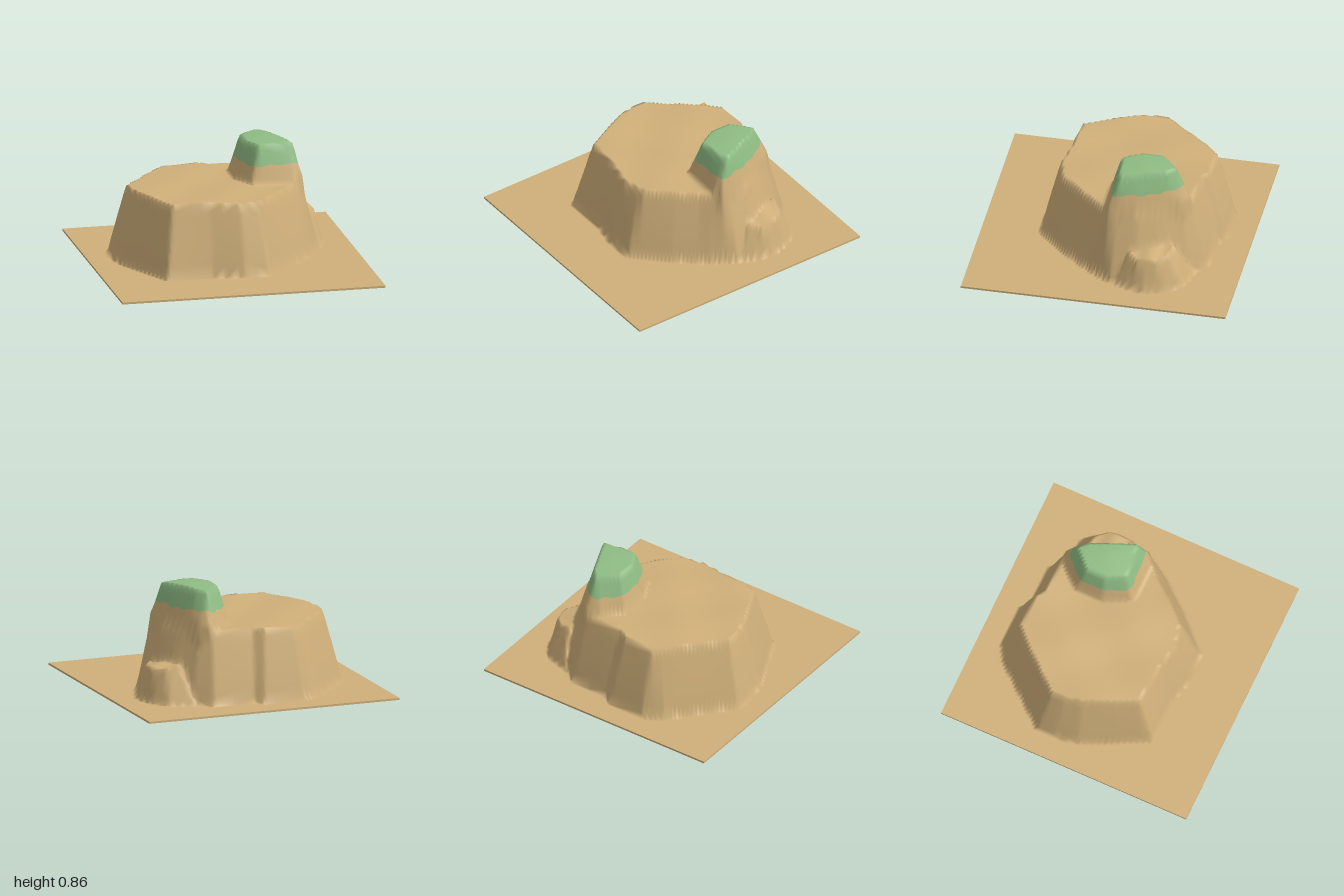
import * as THREE from 'three';

const GROUND = 0.015;
const CELLS = 96;

// Each landform rises from its foot outline to its top outline (x, z pairs).
const mesa = {
  low: GROUND, high: 0.557,
  top: [[-0.69, -0.24], [-0.4, -0.58], [-0.3, -0.68], [-0.05, -0.67], [0.02, -0.62], [0.34, -0.61], [0.42, -0.55],
    [0.5, -0.42], [0.58, -0.25], [0.6, -0.04], [0.47, 0.08], [0.36, 0.22], [0.2, 0.4], [0.02, 0.44], [-0.2, 0.4],
    [-0.48, 0.38], [-0.56, 0.22], [-0.66, 0], [-0.69, -0.14]],
  foot: [[-0.82, -0.3], [-0.45, -0.74], [-0.31, -0.82], [0, -0.81], [0.06, -0.76], [0.38, -0.74], [0.5, -0.64],
    [0.66, -0.45], [0.73, -0.25], [0.74, -0.07], [0.63, 0.1], [0.45, 0.32], [0.22, 0.55], [0.03, 0.57], [-0.2, 0.52],
    [-0.55, 0.52], [-0.64, 0.34], [-0.79, 0.02], [-0.82, -0.16]],
};
const ledge = {
  low: GROUND, high: 0.275,
  top: [[0.55, -0.53], [0.67, -0.5], [0.74, -0.42], [0.75, -0.28], [0.69, -0.21], [0.55, -0.2]],
  foot: [[0.48, -0.67], [0.69, -0.61], [0.77, -0.5], [0.82, -0.34], [0.79, -0.2], [0.7, -0.02], [0.5, -0.03]],
};
const tower = {
  low: 0.55, high: 0.832,
  top: [[0.34, -0.5], [0.4, -0.44], [0.47, -0.28], [0.55, -0.1], [0.28, -0.07], [0.2, -0.22], [0.2, -0.37]],
  foot: [[0.36, -0.62], [0.43, -0.56], [0.5, -0.42], [0.57, -0.25], [0.62, -0.03], [0.54, 0.01], [0.21, 0.01],
    [0.12, -0.2], [0.12, -0.42], [0.25, -0.57]],
};

// Signed distance to an outline, positive inside
function inset(poly, x, z) {
  let best = Infinity, inside = false;
  poly.forEach(([ax, az], i) => {
    const [bx, bz] = poly[(i + 1) % poly.length];
    const ex = bx - ax, ez = bz - az;
    const t = THREE.MathUtils.clamp(((x - ax) * ex + (z - az) * ez) / (ex * ex + ez * ez), 0, 1);
    best = Math.min(best, Math.hypot(x - ax - ex * t, z - az - ez * t));
    if ((az > z) !== (bz > z) && x < ax + (ex * (z - az)) / ez) inside = !inside;
  });
  return inside ? best : -best;
}

// 0 at the foot, 1 on the top, slightly bulging slope between
function rise(form, x, z) {
  const foot = inset(form.foot, x, z);
  if (foot <= 0) return 0;
  const top = inset(form.top, x, z);
  if (top >= 0) return 1;
  return Math.pow(foot / (foot - top), 0.9);
}

function height(x, z) {
  const wave = Math.sin(x * 9 + 1) * Math.cos(z * 8 - 0.5);
  let y = GROUND;
  const m = rise(mesa, x, z);
  if (m > 0) y = Math.max(y, GROUND + m * (mesa.high - GROUND + 0.008 * wave));
  const l = rise(ledge, x, z);
  if (l > 0) y = Math.max(y, GROUND + l * (ledge.high - GROUND + 0.2 * (0.7 - x) + 0.008 * Math.sin(z * 30)));
  const t = rise(tower, x, z);
  if (t > 0) {
    const dome = Math.max(0, 1 - Math.hypot(x - 0.38, z + 0.28) / 0.24);
    y = Math.max(y, tower.low + t * (tower.high - tower.low + 0.024 * Math.sqrt(dome)));
  }
  return y;
}

// Grid point: position, normal and height over the wavy grass line
function samplePoint(i, j) {
  const x = -1 + (2 * i) / CELLS, z = -1 + (2 * j) / CELLS, e = 0.014;
  const y = height(x, z);
  const n = new THREE.Vector3(height(x - e, z) - height(x + e, z), 2 * e, height(x, z - e) - height(x, z + e)).normalize();
  const line = 0.692 + 0.014 * Math.sin(x * 38) * Math.cos(z * 34);
  return { p: new THREE.Vector3(x, y, z), n, s: y - line };
}

// Keep the part of a polygon on one side of the grass line
function clip(points, sign) {
  const out = [];
  points.forEach((a, i) => {
    const b = points[(i + 1) % points.length];
    if (a.s * sign >= 0) out.push(a);
    if (a.s * b.s < 0) {
      const t = a.s / (a.s - b.s);
      out.push({ p: a.p.clone().lerp(b.p, t), n: a.n.clone().lerp(b.n, t).normalize(), s: 0 });
    }
  });
  return out;
}

function surface(polygons, underside) {
  const pos = [], nor = [];
  for (const poly of polygons) {
    for (let k = 1; k < poly.length - 1; k++) {
      const tri = underside ? [poly[0], poly[k + 1], poly[k]] : [poly[0], poly[k], poly[k + 1]];
      for (const v of tri) {
        pos.push(v.p.x, underside ? 0 : v.p.y, v.p.z);
        if (underside) nor.push(0, -1, 0);
        else nor.push(v.n.x, v.n.y, v.n.z);
      }
    }
  }
  const g = new THREE.BufferGeometry();
  g.setAttribute('position', new THREE.Float32BufferAttribute(pos, 3));
  g.setAttribute('normal', new THREE.Float32BufferAttribute(nor, 3));
  return g;
}

export function createModel() {
  const group = new THREE.Group();
  group.name = 'mesaTerrain';
  const sand = new THREE.MeshStandardMaterial({ color: 0xd0b07a });
  sand.name = 'sand';
  const grass = new THREE.MeshStandardMaterial({ color: 0x8fbc84 });
  grass.name = 'grass';
  const add = (name, geometry, material) => {
    const mesh = new THREE.Mesh(geometry, material);
    mesh.name = name;
    group.add(mesh);
    return mesh;
  };

  // Height grid split into sand below and grass above
  const grid = [];
  for (let i = 0; i <= CELLS; i++) {
    grid.push([]);
    for (let j = 0; j <= CELLS; j++) grid[i].push(samplePoint(i, j));
  }
  const low = [], high = [];
  for (let i = 0; i < CELLS; i++) {
    for (let j = 0; j < CELLS; j++) {
      const a = grid[i][j], b = grid[i][j + 1], c = grid[i + 1][j + 1], d = grid[i + 1][j];
      for (const tri of [[a, b, c], [a, c, d]]) {
        low.push(clip(tri, -1));
        high.push(clip(tri, 1));
      }
    }
  }
  add('rockTerrain', surface(low, false), sand);
  add('grassCap', surface(high, false), grass);

  // Flat underside, with the patch beneath the grass cap
  add('underside', surface(low, true), sand);
  add('undersidePatch', surface(high, true), grass);

  // Thin walls around the base
  for (let k = 0; k < 4; k++) {
    const wall = new THREE.PlaneGeometry(2, GROUND);
    wall.translate(0, GROUND / 2, 1);
    wall.rotateY((k * Math.PI) / 2);
    add('baseEdge' + (k + 1), wall, sand);
  }
  return group;
}
